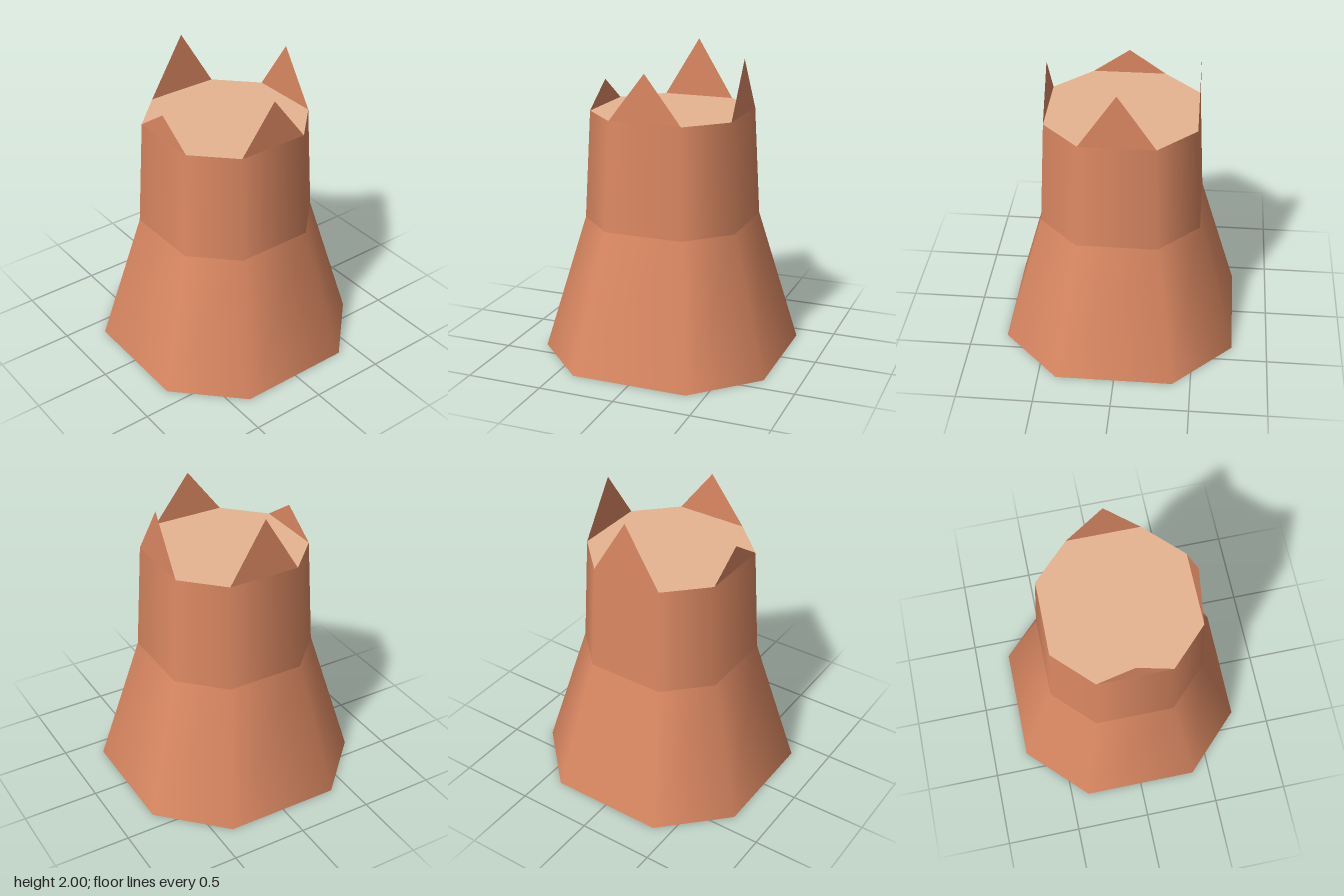
import * as THREE from 'three';

const TOP = 1.61, WAIST = 0.9;
const R_BASE = 0.765, R_WAIST = 0.515, R_TOP = 0.478;

// Octagon wall: corners sit at (r, r/2), so straight sides are longer than diagonals
function wall(rTop, rBottom, y0, y1) {
  const g = new THREE.CylinderGeometry(rTop, rBottom, y1 - y0, 8, 1, true, Math.PI / 8);
  const p = g.attributes.position;
  for (let i = 0; i < p.count; i++) {
    const x = p.getX(i), z = p.getZ(i);
    const r = p.getY(i) > 0 ? rTop : rBottom;
    const wide = Math.abs(x) > Math.abs(z);
    p.setX(i, Math.sign(x) * (wide ? r : r / 2));
    p.setZ(i, Math.sign(z) * (wide ? r / 2 : r));
  }
  return g.translate(0, (y0 + y1) / 2, 0);
}

// Flat octagon facing up or down
function cap(r, y, up) {
  const h = r / 2;
  const corners = [[r, -h], [r, h], [h, r], [-h, r], [-r, h], [-r, -h], [-h, -r], [h, -r]];
  const shape = new THREE.Shape(corners.map(([x, z]) => new THREE.Vector2(x, z)));
  return new THREE.ShapeGeometry(shape).rotateX(up ? -Math.PI / 2 : Math.PI / 2).translate(0, y, 0);
}

// Thin upright splinter on the top edge of one side
function splinter(height, angle) {
  const h = R_TOP / 2;
  const shape = new THREE.Shape([
    new THREE.Vector2(-h, 0), new THREE.Vector2(h, 0), new THREE.Vector2(0, height),
  ]);
  return new THREE.ShapeGeometry(shape).translate(0, TOP, R_TOP).rotateY(angle);
}

export function createModel() {
  const bark = new THREE.MeshStandardMaterial({ color: 0xdc8963 });
  bark.name = 'bark';
  bark.side = THREE.DoubleSide;
  const wood = new THREE.MeshStandardMaterial({ color: 0xecb894 });
  wood.name = 'cutWood';

  const model = new THREE.Group();
  model.name = 'treeStump';
  const add = (name, geometry, material) => {
    const mesh = new THREE.Mesh(geometry, material);
    mesh.name = name;
    model.add(mesh);
  };

  // Trunk
  add('flaredBase', wall(R_WAIST, R_BASE, 0, WAIST), bark);
  add('upperTrunk', wall(R_TOP, R_WAIST, WAIST, TOP), bark);
  add('underside', cap(R_BASE, 0, false), bark);
  add('cutTop', cap(R_TOP, TOP, true), wood);

  // Splinters of differing height on the four straight sides
  const splinters = [
    ['frontSplinter', 0.31], ['leftSplinter', 0.355], ['backSplinter', 0.39], ['rightSplinter', 0.165],
  ];
  splinters.forEach(([name, height], i) => add(name, splinter(height, i * Math.PI / 2), bark));

  return model;
}
